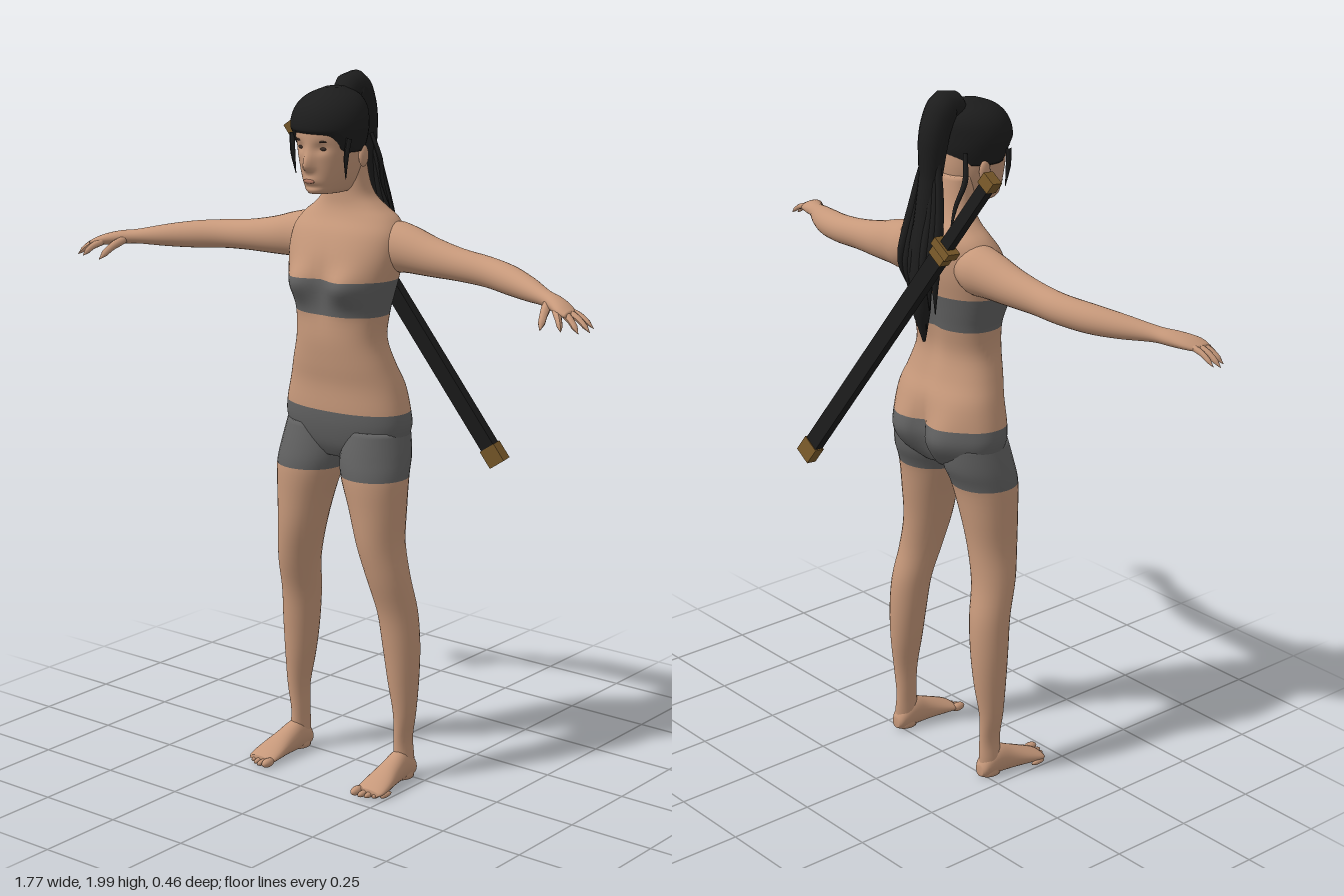
import * as THREE from 'three';

const mat = (name, color) => Object.assign(new THREE.MeshStandardMaterial({ color }), { name });

// Catmull-Rom through the rows of a table
function sample(keys, i, t) {
  const k = (n) => keys[Math.min(Math.max(n, 0), keys.length - 1)];
  return keys[i].map((_, c) => {
    const [a, b, d, e] = [k(i - 1)[c], k(i)[c], k(i + 1)[c], k(i + 2)[c]];
    return b + 0.5 * t * (d - a + t * (2 * a - 5 * b + 4 * d - e + t * (3 * (b - d) + e - a)));
  });
}

// Closed skin over elliptical sections [s, centreU, centreV, radiusU, radiusV], s ascending along the axis
function loft(keys, axis, { seg = 28, steps = 4, power = 1, band = () => 0, tweak } = {}) {
  const pos = [], idx = [], geo = new THREE.BufferGeometry(), v = new THREE.Vector3();
  const rows = [];
  for (let i = 0; i < keys.length - 1; i++)
    for (let j = 0; j < steps; j++) rows.push(sample(keys, i, j / steps));
  rows.push(keys[keys.length - 1]);
  const put = (s, u, w) => {
    if (axis === 'x') v.set(s, u, w);
    else if (axis === 'y') v.set(u, s, w);
    else v.set(u, w, s);
    if (tweak) tweak(v);
    pos.push(v.x, v.y, v.z);
  };
  const round = (c) => Math.sign(c) * Math.abs(c) ** power;
  for (const [s, cu, cv, ru, rv] of rows)
    for (let j = 0; j < seg; j++) {
      const a = (j / seg) * Math.PI * 2;
      put(s, cu + ru * round(Math.cos(a)), cv + rv * round(Math.sin(a)));
    }
  const last = rows.length - 1, end = rows.length * seg;
  for (const r of [rows[0], rows[last]]) put(r[0], r[1], r[2]);
  const tri = (a, b, c) => (axis === 'y' ? idx.push(a, b, c) : idx.push(a, c, b));
  for (let i = 0; i < last; i++) {
    const start = idx.length;
    for (let j = 0; j < seg; j++) {
      const a = i * seg + j, b = i * seg + ((j + 1) % seg);
      if (i === 0) tri(end, a, b);
      tri(a, a + seg, b);
      tri(b, a + seg, b + seg);
      if (i === last - 1) tri(end + 1, b + seg, a + seg);
    }
    geo.addGroup(start, idx.length - start, band((rows[i][0] + rows[i + 1][0]) / 2));
  }
  geo.setAttribute('position', new THREE.Float32BufferAttribute(pos, 3));
  geo.setIndex(idx);
  geo.computeVertexNormals();
  return geo;
}

// Tube whose radius follows a list of values
function taper(points, radii, seg = 10, n = 24) {
  const curve = new THREE.CatmullRomCurve3(points.map((p) => new THREE.Vector3(...p)));
  const geo = new THREE.TubeGeometry(curve, n, 1, seg), p = geo.attributes.position, v = new THREE.Vector3();
  for (let i = 0; i <= n; i++) {
    const c = curve.getPointAt(i / n), f = (i / n) * (radii.length - 1), k = Math.min(Math.floor(f), radii.length - 2);
    const r = THREE.MathUtils.lerp(radii[k], radii[k + 1], f - k);
    for (let j = 0; j <= seg; j++) {
      const q = i * (seg + 1) + j;
      v.fromBufferAttribute(p, q).sub(c).multiplyScalar(r).add(c);
      p.setXYZ(q, v.x, v.y, v.z);
    }
  }
  geo.computeVertexNormals();
  return geo;
}

const blob = (x, y, z, rx, ry, rz) => new THREE.SphereGeometry(1, 16, 10).scale(rx, ry, rz).translate(x, y, z);

function mirrored(geo) {
  const g = geo.clone().scale(-1, 1, 1), a = g.index.array;
  for (let i = 0; i < a.length; i += 3) [a[i], a[i + 1]] = [a[i + 1], a[i]];
  return g;
}

const bump = (d, w) => Math.exp(-((d / w) ** 2));
// [y, half width, front z, back z] -> loft section
const trunk = (rows) => rows.map(([y, w, f, b]) => [y, 0, (f + b) / 2, w, (f - b) / 2]);

export function createModel() {
  const root = new THREE.Group();
  const skin = mat('skin', 0xc6987a), cloth = mat('greyCloth', 0x626262), hair = mat('blackHair', 0x1d1d1d);
  const lacquer = mat('blackLacquer', 0x1b1b1b), brass = mat('brass', 0x7a5a2a);
  const lip = mat('lips', 0xae7560), eye = mat('eyeDark', 0x3a2c26);
  const add = (name, geo, m, parent = root) => {
    const mesh = new THREE.Mesh(geo, m);
    mesh.name = name;
    parent.add(mesh);
    return mesh;
  };
  const pair = (name, geo, m) => {
    add('left' + name, geo, m);
    add('right' + name, mirrored(geo), m);
  };

  // Torso with chest band, shorts and neck
  add('torso', loft(trunk([
    [0.935, 0.09, 0.1, -0.03], [0.97, 0.17, 0.12, -0.055], [1.02, 0.197, 0.133, -0.075], [1.07, 0.195, 0.138, -0.075],
    [1.14, 0.178, 0.138, -0.07], [1.2, 0.157, 0.146, -0.048], [1.27, 0.136, 0.152, -0.032], [1.34, 0.14, 0.15, -0.04],
    [1.39, 0.152, 0.152, -0.048], [1.44, 0.165, 0.155, -0.056], [1.5, 0.175, 0.148, -0.066], [1.56, 0.172, 0.125, -0.068],
    [1.6, 0.148, 0.1, -0.064], [1.63, 0.108, 0.088, -0.046], [1.66, 0.078, 0.085, -0.028], [1.7, 0.066, 0.085, -0.012],
    [1.76, 0.06, 0.085, 0.0],
  ]), 'y', {
    seg: 56, power: 0.88, band: (y) => ((y < 1.07 || (y > 1.34 && y < 1.44)) ? 1 : 0),
    tweak: (v) => {
      const ax = Math.abs(v.x);
      if (v.z > 0.06) v.z += 0.034 * bump(ax - 0.08, 0.05) * bump(v.y - 1.42, 0.05) - 0.006 * bump(v.x, 0.02) * bump(v.y - 1.42, 0.08);
      if (v.z < 0) v.z -= 0.03 * bump(ax - 0.085, 0.06) * bump(v.y - 1.03, 0.08) - 0.02 * bump(v.x, 0.015) * bump(v.y - 1.02, 0.08);
      if (v.z < 0) v.z += 0.012 * bump(v.x, 0.03) * bump(v.y - 1.35, 0.15);
    },
  }), [skin, cloth]);

  // Legs, cloth above the hem
  pair('Leg', loft([
    [0.005, 0.19, 0.02, 0.026, 0.034], [0.06, 0.19, 0.02, 0.026, 0.036], [0.12, 0.188, 0.02, 0.023, 0.034],
    [0.2, 0.193, 0.021, 0.03, 0.038], [0.3, 0.187, 0.02, 0.042, 0.05], [0.4, 0.181, 0.022, 0.051, 0.057],
    [0.5, 0.173, 0.03, 0.055, 0.061], [0.6, 0.16, 0.054, 0.059, 0.066], [0.7, 0.141, 0.065, 0.065, 0.075],
    [0.8, 0.128, 0.063, 0.08, 0.084], [0.89, 0.114, 0.058, 0.097, 0.093], [0.95, 0.106, 0.042, 0.099, 0.1],
    [1.02, 0.105, 0.03, 0.085, 0.095],
  ], 'y', { band: (y) => (y > 0.89 ? 1 : 0) }), [skin, cloth]);

  // Feet with flat soles, and toes
  pair('Foot', loft([
    [-0.02, 0.19, 0.024, 0.014, 0.016], [-0.005, 0.19, 0.034, 0.026, 0.032], [0.04, 0.19, 0.046, 0.031, 0.046],
    [0.09, 0.193, 0.037, 0.036, 0.037], [0.14, 0.196, 0.026, 0.044, 0.025], [0.18, 0.197, 0.017, 0.045, 0.015],
    [0.195, 0.197, 0.014, 0.038, 0.01],
  ], 'z', { tweak: (v) => { v.y = Math.max(v.y, 0.003); } }), skin);
  for (let i = 0; i < 5; i++) {
    const r = i ? 0.0095 - i * 0.0005 : 0.013;
    pair('Toe' + (i + 1), blob(0.163 + i * 0.018 + (i ? 0.003 : 0), r + 0.001, 0.2 - i * i * 0.0022, r, r, 0.024), skin);
  }

  // Arms
  pair('Arm', loft([
    [0.08, 1.53, 0.01, 0.04, 0.05], [0.14, 1.527, 0.006, 0.068, 0.066], [0.2, 1.523, 0.007, 0.064, 0.06],
    [0.28, 1.511, 0.01, 0.053, 0.05], [0.37, 1.502, 0.014, 0.044, 0.042], [0.46, 1.495, 0.018, 0.041, 0.041],
    [0.55, 1.487, 0.042, 0.039, 0.042], [0.63, 1.48, 0.075, 0.032, 0.037], [0.71, 1.473, 0.115, 0.021, 0.027],
    [0.755, 1.468, 0.138, 0.02, 0.033], [0.795, 1.461, 0.16, 0.016, 0.037], [0.825, 1.453, 0.172, 0.009, 0.026],
  ], 'x'), skin);

  // Fingers: base, tip, radius
  [
    ['Thumb', [0.735, 1.466, 0.145], [0.765, 1.413, 0.222], 0.012],
    ['IndexFinger', [0.785, 1.459, 0.182], [0.828, 1.418, 0.222], 0.01],
    ['MiddleFinger', [0.8, 1.459, 0.175], [0.867, 1.415, 0.202], 0.01],
    ['RingFinger', [0.808, 1.459, 0.163], [0.884, 1.416, 0.175], 0.009],
    ['LittleFinger', [0.805, 1.459, 0.147], [0.88, 1.422, 0.152], 0.008],
  ].forEach(([name, a, b, r]) => {
    const mid = a.map((c, i) => (c + b[i]) / 2 + (i === 1 ? 0.007 : 0));
    pair(name, taper([a, mid, b], [r, r * 1.05, r * 0.9, r * 0.8, 0.0005], 8, 16), skin);
  });

  // Head with nose, eye sockets and mouth shaped in
  add('head', loft(trunk([
    [1.677, 0.042, 0.186, 0.04], [1.69, 0.053, 0.194, 0.03], [1.72, 0.067, 0.197, 0.02], [1.76, 0.079, 0.2, 0.012],
    [1.8, 0.086, 0.203, 0.01], [1.85, 0.09, 0.203, 0.014], [1.9, 0.08, 0.185, 0.025], [1.93, 0.045, 0.145, 0.06],
  ]), 'y', {
    seg: 72, steps: 7,
    tweak: (v) => {
      if (v.z < 0.14) return;
      const ax = Math.abs(v.x);
      v.z += 0.024 * bump(v.x, 0.014) * bump(v.y - 1.75, v.y < 1.75 ? 0.012 : 0.035)
        - 0.009 * bump(ax - 0.034, 0.018) * bump(v.y - 1.801, 0.014)
        + 0.006 * bump(v.x, 0.022) * bump(v.y - 1.712, 0.012) - 0.006 * bump(v.x, 0.03) * bump(v.y - 1.697, 0.007);
    },
  }), skin);
  pair('Ear', blob(0.087, 1.775, 0.075, 0.01, 0.03, 0.018), skin);
  pair('Eye', blob(0.034, 1.8, 0.185, 0.014, 0.005, 0.004), eye);
  pair('Brow', blob(0.036, 1.82, 0.192, 0.02, 0.003, 0.004), eye);
  add('mouth', blob(0, 1.712, 0.2, 0.019, 0.006, 0.0045), lip);

  // Hair cap, raised over the brow
  add('hairCap', loft(trunk([
    [1.79, 0.092, 0.19, 0.02], [1.825, 0.102, 0.211, 0.008], [1.865, 0.106, 0.216, 0.004], [1.905, 0.094, 0.203, 0.004],
    [1.935, 0.066, 0.172, 0.02], [1.955, 0.022, 0.12, 0.06],
  ]), 'y', { seg: 40, tweak: (v) => {
    if (v.y < 1.85) v.y += (1.85 - v.y) * 0.72 * THREE.MathUtils.smoothstep(v.z, 0.14, 0.19);
  } }), hair);

  // Ponytail and its loose strands
  add('ponytail', taper([
    [0, 1.9, 0.06], [0, 1.952, 0.015], [0, 1.9, -0.022], [0, 1.75, -0.043], [0, 1.6, -0.062], [0, 1.45, -0.077], [0, 1.3, -0.065],
  ], [0.034, 0.045, 0.041, 0.032, 0.033, 0.036, 0.034, 0.026, 0.004], 16, 60), hair);
  for (let i = 0; i < 9; i++) {
    const s = (i - 4) / 4, w = ((i * 37) % 11) / 11;
    add('ponytailStrand' + (i + 1), taper([
      [s * 0.02, 1.84, -0.035], [s * 0.045, 1.68, -0.05 - w * 0.015], [s * 0.06, 1.52, -0.075 - w * 0.025],
      [s * 0.045 + 0.012 * (w - 0.5), 1.31 + w * 0.08 + Math.abs(s) * 0.08, -0.068 - w * 0.02],
    ], [0.008, 0.013, 0.015, 0.012, 0.001], 7, 20), hair);
  }
  pair('TempleLock', taper([[0.098, 1.83, 0.15], [0.092, 1.78, 0.155], [0.086, 1.72, 0.15]], [0.008, 0.007, 0.001], 7), hair);
  pair('NapeLock', taper([[0.07, 1.83, 0.02], [0.088, 1.76, 0.005], [0.078, 1.69, -0.02], [0.084, 1.62, -0.045]], [0.006, 0.008, 0.006, 0.001], 7), hair);

  // Sheathed sword slung across the back
  const top = new THREE.Vector3(-0.28, 1.825, -0.066), tip = new THREE.Vector3(0.335, 0.9, -0.225);
  const sword = new THREE.Group();
  sword.name = 'sword';
  const Y = top.clone().sub(tip), half = Y.length() / 2;
  Y.normalize();
  const X = Y.clone().cross(new THREE.Vector3(0, 0, 1)).normalize(), Z = X.clone().cross(Y);
  sword.quaternion.setFromRotationMatrix(new THREE.Matrix4().makeBasis(X, Y, Z));
  sword.position.copy(top).add(tip).multiplyScalar(0.5);
  root.add(sword);
  const guard = half - 0.265;
  // name, lower end, upper end, width, depth, material
  [
    ['pommel', half - 0.035, half, 0.044, 0.034, brass],
    ['handle', guard, half - 0.03, 0.034, 0.026, lacquer],
    ['guard', guard - 0.012, guard + 0.012, 0.068, 0.044, brass],
    ['scabbardCollar', guard - 0.04, guard - 0.01, 0.054, 0.034, brass],
    ['scabbard', -half + 0.05, guard - 0.03, 0.048, 0.027, lacquer],
    ['scabbardTip', -half, -half + 0.055, 0.056, 0.032, brass],
  ].forEach(([name, a, b, w, d, m]) => {
    add(name, new THREE.BoxGeometry(w, b - a, d).translate(0, (a + b) / 2, 0), m, sword);
  });

  return root;
}
